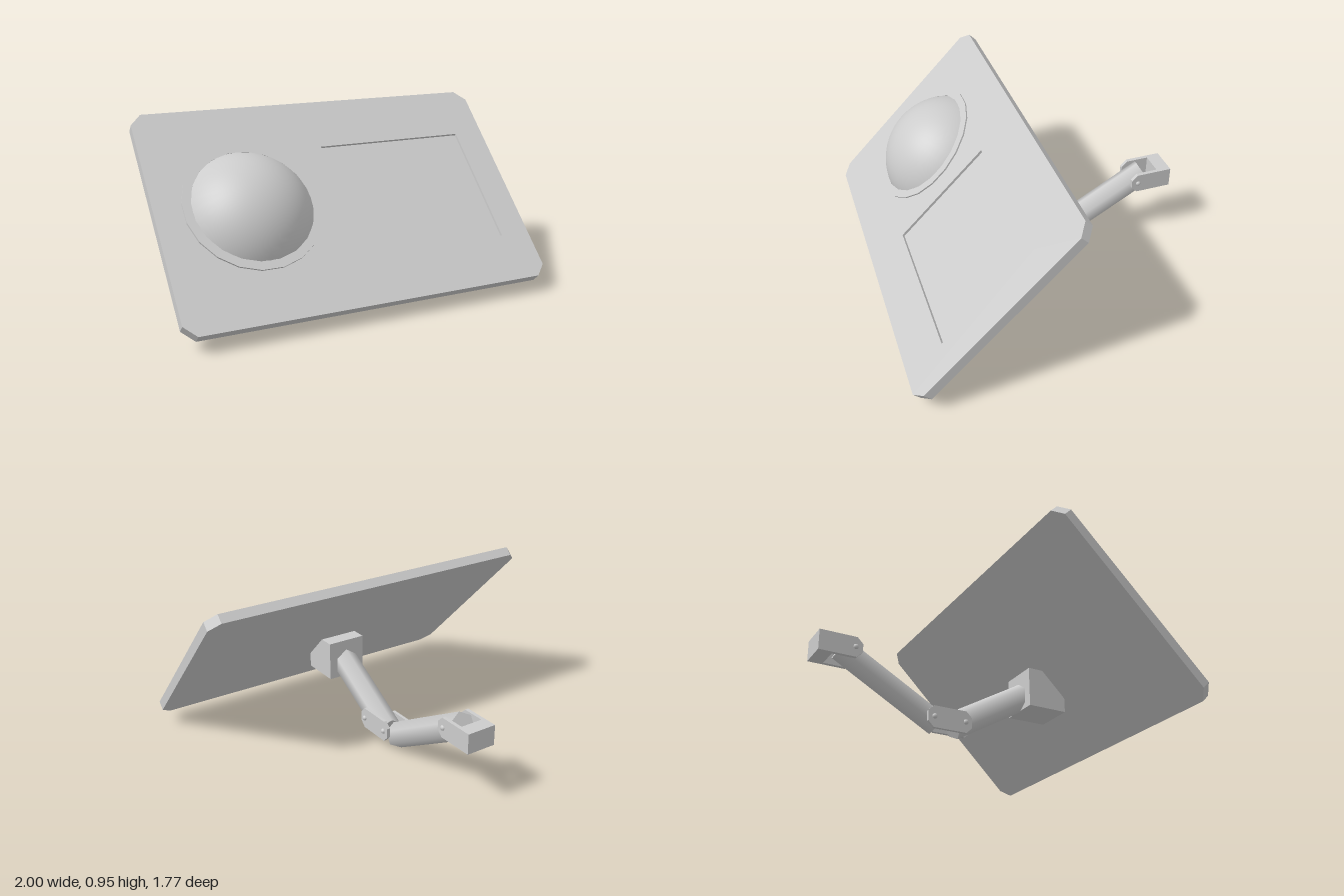
import * as THREE from 'three';

const material = new THREE.MeshStandardMaterial({ color: 0xcccccc });
const ARM_X = -0.005;

function addMesh(parent, name, geometry, x = 0, y = 0, z = 0) {
  const mesh = new THREE.Mesh(geometry, material);
  mesh.name = name;
  mesh.position.set(x, y, z);
  parent.add(mesh);
  return mesh;
}

const toVectors = (points) => points.map(([x, y]) => new THREE.Vector2(x, y));
const extrude = (shape, depth) => new THREE.ExtrudeGeometry(shape, { depth, bevelEnabled: false });

// Rectangle with cut corners
function chamferedRect(w, h, c) {
  const a = w / 2, b = h / 2;
  return new THREE.Shape(toVectors([
    [-a + c, -b], [a - c, -b], [a, -b + c], [a, b - c],
    [a - c, b], [-a + c, b], [-a, b - c], [-a, -b + c],
  ]));
}

// Regular polygon with flats at the top and sides
function polygon(radius, sides) {
  const points = [];
  for (let i = 0; i < sides; i++) {
    const t = ((i + 0.5) / sides) * Math.PI * 2;
    points.push([radius * Math.cos(t), radius * Math.sin(t)]);
  }
  return toVectors(points);
}

// Side profile given as [z, y], extruded across x from x0 to x1
function sideProfile(points, x0, x1) {
  const geometry = extrude(new THREE.Shape(toVectors(points.map(([z, y]) => [-z, y]))), x1 - x0);
  return geometry.rotateY(Math.PI / 2).translate(x0, 0, 0);
}

// Link plate between two z values, with cut corners at the chosen ends
function plateProfile(zBack, zFront, y0, y1, cutBack) {
  const c = 0.033;
  const front = [[zFront - c, y0], [zFront, y0 + c], [zFront, y1 - c], [zFront - c, y1]];
  const back = cutBack
    ? [[zBack + c, y1], [zBack, y1 - c], [zBack, y0 + c], [zBack + c, y0]]
    : [[zBack, y1], [zBack, y0]];
  return [...front, ...back];
}

function addPin(parent, side, y, z) {
  const pin = addMesh(parent, 'pin', new THREE.SphereGeometry(0.015, 10, 8), ARM_X + side * 0.083, y, z);
  pin.scale.x = 0.9;
}

// Six-sided arm tube between two [y, z] points
function addArm(parent, name, [y0, z0], [y1, z1]) {
  const length = Math.hypot(y1 - y0, z1 - z0);
  const arm = addMesh(parent, name, new THREE.CylinderGeometry(0.075, 0.075, length, 6),
    ARM_X, (y0 + y1) / 2, (z0 + z1) / 2);
  arm.rotation.x = Math.atan2(z1 - z0, y1 - y0);
}

function createPanel() {
  const panel = new THREE.Group();
  panel.name = 'panel';
  panel.position.set(0, 0.53, 0.455);
  panel.rotation.x = -Math.PI / 4;

  // Board: solid back layer and a front layer holding the recess
  const depth = 0.014;
  addMesh(panel, 'boardBack', extrude(chamferedRect(2, 1.218, 0.06), 0.04), 0, 0, -0.054);
  const front = chamferedRect(2, 1.218, 0.06);
  front.holes.push(new THREE.Path(toVectors([
    [-0.025, -0.35], [-0.025, 0.318], [0.83, 0.318], [0.83, -0.35],
  ])));
  addMesh(panel, 'boardFront', extrude(front, depth), 0, 0, -depth);

  // Dome with its polygonal collar
  const collar = new THREE.Shape(polygon(0.36, 20));
  collar.holes.push(new THREE.Path(polygon(0.314, 20).reverse()));
  addMesh(panel, 'domeCollar', extrude(collar, 0.009), -0.5, 0.015, 0);

  const radius = 0.379, drop = 0.21;
  const cap = new THREE.SphereGeometry(radius, 32, 14, 0, Math.PI * 2, 0, Math.acos((drop - 0.004) / radius));
  const dome = addMesh(panel, 'dome', cap, -0.5, 0.015, 0.004 - drop);
  dome.rotation.x = Math.PI / 2;
  return panel;
}

function createSupport() {
  const support = new THREE.Group();
  support.name = 'supportArm';

  // Mount block cut to meet the sloping board
  addMesh(support, 'mountBlock', sideProfile([
    [0.583, 0.242], [0.583, 0.355], [0.469, 0.469], [0.35, 0.469], [0.35, 0.242],
  ], ARM_X - 0.115, ARM_X + 0.115));

  addArm(support, 'frontArm', [0.073, -0.083], [0.35, 0.4]);
  addArm(support, 'rearArm', [0.073, -0.178], [0.393, -0.744]);

  // Elbow plates, offset from one another on the two sides
  addMesh(support, 'elbowPlateLeft',
    sideProfile(plateProfile(-0.194, 0.066, 0.052, 0.175, true), 0.06, 0.078));
  addMesh(support, 'elbowPlateRight',
    sideProfile(plateProfile(-0.262, -0.002, 0.018, 0.141, true), -0.088, -0.07));
  for (const z of [0.03, -0.156]) addPin(support, 1, 0.114, z);
  for (const z of [-0.038, -0.224]) addPin(support, -1, 0.08, z);

  // Wall bracket: block with two cheeks gripping the rear arm
  addMesh(support, 'wallBlock', new THREE.BoxGeometry(0.17, 0.114, 0.08), ARM_X, 0.379, -0.846);
  for (const side of [-1, 1]) {
    const x = ARM_X + side * 0.0745;
    addMesh(support, 'wallBracketCheek',
      sideProfile(plateProfile(-0.81, -0.645, 0.322, 0.436, false), x - 0.0105, x + 0.0105));
    addPin(support, side, 0.38, -0.684);
  }
  return support;
}

export function createModel() {
  const model = new THREE.Group();
  model.name = 'armMountedPanel';
  model.add(createPanel(), createSupport());
  return model;
}
